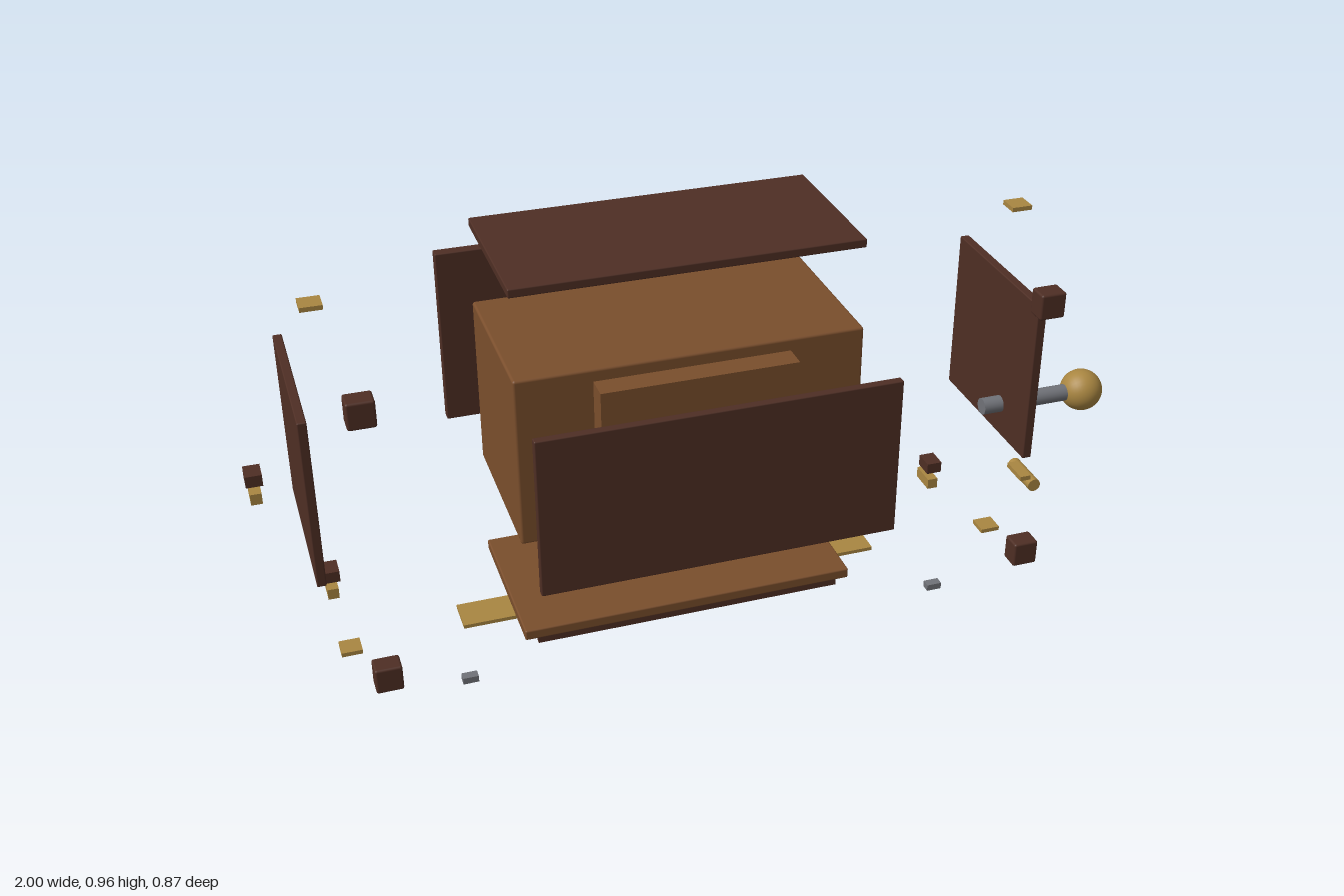
import * as THREE from 'three';
import { RoundedBoxGeometry } from 'three/addons/geometries/RoundedBoxGeometry.js';

const mat = (name, color) => {
  const m = new THREE.MeshStandardMaterial({ color });
  m.name = name;
  return m;
};

export function createModel() {
  const root = new THREE.Group();
  root.name = 'explodedCabinet';
  const dark = mat('darkWood', 0x4e2e24);
  const brown = mat('brownWood', 0x7a4e2c);
  const brass = mat('brass', 0xa98641);
  const steel = mat('steel', 0x707278);

  const add = (name, geometry, material, x, y, z) => {
    const mesh = new THREE.Mesh(geometry, material);
    mesh.name = name;
    mesh.position.set(x, y, z);
    root.add(mesh);
    return mesh;
  };
  // Block given by its extents; a radius softens the edges
  const block = (name, material, [x0, x1], [y0, y1], [z0, z1], r = 0) => {
    const size = [x1 - x0, y1 - y0, z1 - z0];
    const geometry = r ? new RoundedBoxGeometry(...size, 2, r) : new THREE.BoxGeometry(...size);
    return add(name, geometry, material, (x0 + x1) / 2, (y0 + y1) / 2, (z0 + z1) / 2);
  };

  // Outer panels
  block('topPanel', dark, [-0.458, 0.315], [0.93, 0.95], [-0.153, 0.217], 0.003);
  block('backPanel', dark, [-0.495, 0.353], [0.311, 0.753], [-0.437, -0.409], 0.003);
  block('frontPanel', dark, [-0.465, 0.322], [0.347, 0.717], [0.405, 0.424], 0.003);
  block('rightPanel', dark, [-0.897, -0.877], [0.335, 0.73], [-0.168, 0.23], 0.003);
  block('leftPanel', dark, [0.733, 0.755], [0.335, 0.73], [-0.168, 0.23], 0.003);

  // Inner body with its raised front and lower ledge
  block('body', brown, [-0.46, 0.315], [0.345, 0.745], [-0.162, 0.225], 0.006);
  block('raisedFront', brown, [-0.29, 0.147], [0.467, 0.717], [0.22, 0.28]);
  block('ledge', brown, [-0.29, 0.147], [0.317, 0.338], [0.212, 0.283], 0.002);

  // Flat round button with a rounded rim
  const rim = [[0, -0.008], [0.038, -0.008], [0.043, -0.005], [0.045, 0],
    [0.043, 0.005], [0.038, 0.008], [0, 0.008]];
  add('button', new THREE.LatheGeometry(rim.map(([r, y]) => new THREE.Vector2(r, y)), 32),
    brass, -0.072, 0.28, 0.246);

  // Floor and its runners
  block('floor', brown, [-0.46, 0.315], [0.077, 0.102], [-0.173, 0.21], 0.004);
  for (const z of [0.201, 0.081, -0.039, -0.159]) {
    block('runner', dark, [-0.43, 0.285], [0.062, 0.079], [z - 0.006, z + 0.006]);
  }

  // Brass strips below the floor
  block('rightStrip', brass, [-0.575, -0.43], [0.049, 0.058], [0.003, 0.086]);
  block('leftStrip', brass, [0.285, 0.43], [0.049, 0.058], [0.003, 0.086]);
  block('shortStrip', brass, [0.303, 0.412], [0.041, 0.052], [-0.113, -0.054]);
  block('smallBar', brass, [0.303, 0.396], [0, 0.024], [-0.094, -0.072]);

  // Corner cubes and flat tabs, two high and two low
  for (const [x0, x1] of [[-0.82, -0.763], [0.617, 0.674]]) {
    for (const y of [0.843, 0.221]) {
      block('cornerCube', dark, [x0, x1], [y - 0.029, y + 0.029], [0.391, 0.437], 0.005);
    }
  }
  for (const x of [-0.838, 0.694]) {
    for (const y of [0.952, 0.114]) {
      block('tab', brass, [x - 0.023, x + 0.023], [y - 0.005, y + 0.005], [0.137, 0.183]);
    }
  }

  // Hinge blocks with a brass bar beneath
  for (const [x, y, z] of [[-0.838, 0.101, -0.158], [0.695, 0.101, -0.158], [-0.981, 0.403, -0.142]]) {
    block('hingeBlock', dark, [x - 0.019, x + 0.019], [y - 0.014, y + 0.014], [z - 0.025, z + 0.025]);
    block('hingeBar', brass, [x - 0.013, x + 0.013], [y - 0.062, y - 0.035], [z - 0.044, z + 0.022]);
  }

  // Steel stops
  for (const x of [-0.612, 0.467]) {
    block('stop', steel, [x - 0.017, x + 0.017], [0.106, 0.121], [0.333, 0.353]);
  }

  // Shaft through the left panel with a ball knob
  add('shaft', new THREE.CylinderGeometry(0.02, 0.02, 0.23, 24), steel, 0.8, 0.413, 0.1)
    .rotation.z = Math.PI / 2;
  add('ballKnob', new THREE.SphereGeometry(0.05, 32, 20), brass, 0.948, 0.413, 0.1)
    .rotation.z = Math.PI / 2;

  // Loose pin and plate beside the shaft
  add('pin', new THREE.CylinderGeometry(0.0165, 0.0165, 0.108, 24), brass, 0.863, 0.144, 0.025)
    .rotation.x = Math.PI / 2;
  block('pinPlate', brass, [0.82, 0.847], [0.168, 0.18], [0.014, 0.085]);

  return root;
}
